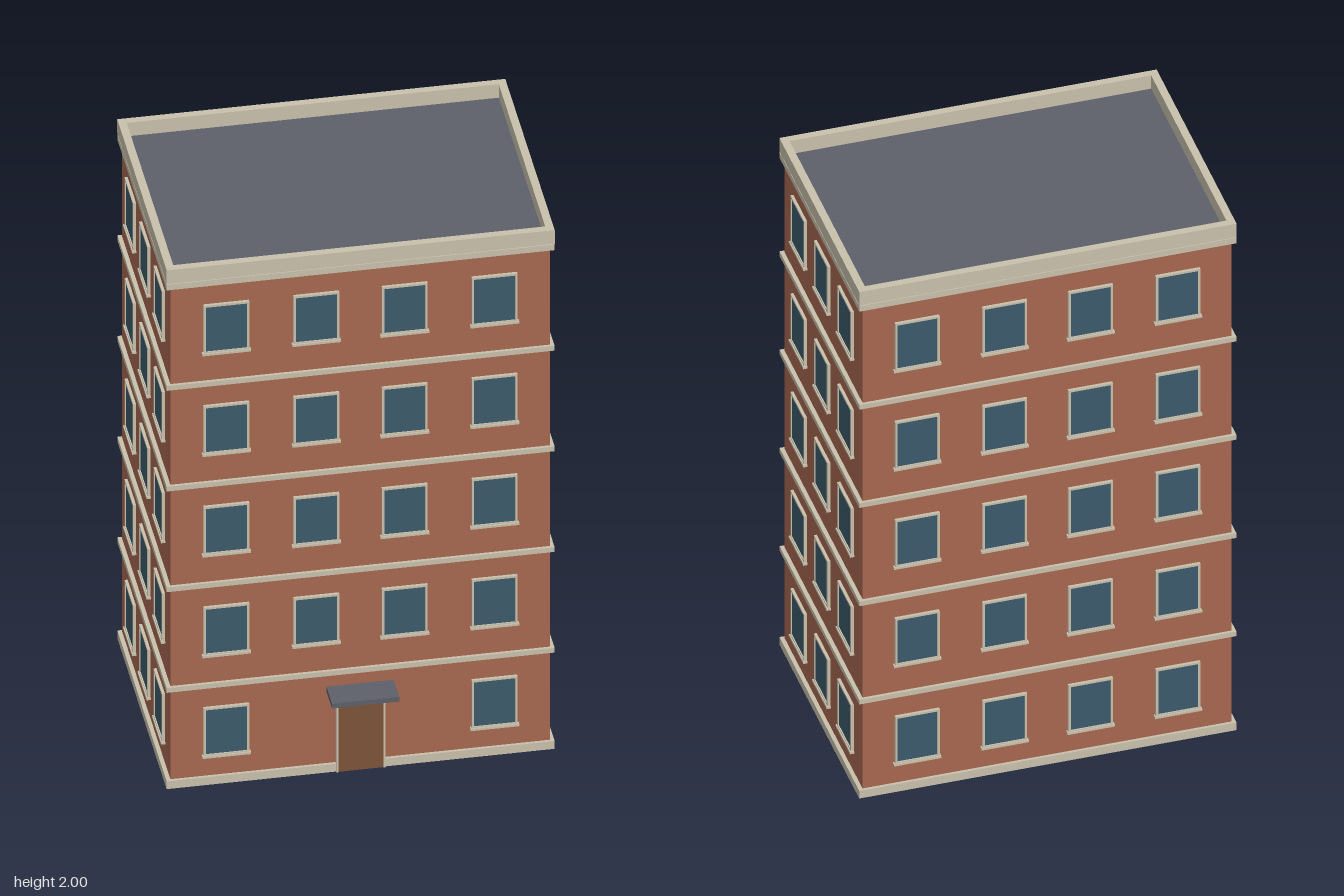
import * as THREE from 'three';

const W = 1.228, D = 0.846, ZC = -0.044, FLOOR = 0.388, FLOORS = 5;

const mat = (name, color) => {
  const m = new THREE.MeshStandardMaterial({ color });
  m.name = name;
  return m;
};

export function createModel() {
  const brick = mat('brick', 0xa6674f);
  const stone = mat('stone', 0xc8c0ac);
  const glass = mat('glass', 0x3c5a6b);
  const slate = mat('slate', 0x5d6069);
  const wood = mat('wood', 0x7d5338);

  const model = new THREE.Group();
  model.name = 'apartmentBuilding';
  const building = new THREE.Group();
  building.name = 'building';
  building.position.z = ZC;
  model.add(building);

  const box = (parent, name, material, w, h, d, x, y, z) => {
    const mesh = new THREE.Mesh(new THREE.BoxGeometry(w, h, d), material);
    mesh.name = name;
    mesh.position.set(x, y, z);
    parent.add(mesh);
    return mesh;
  };

  // Flat rectangular ring with an open centre
  const ring = (w, h, border, depth) => {
    const rect = (P, a, b) => new P([
      new THREE.Vector2(-a, -b), new THREE.Vector2(a, -b),
      new THREE.Vector2(a, b), new THREE.Vector2(-a, b)]);
    const shape = rect(THREE.Shape, w / 2, h / 2);
    shape.holes.push(rect(THREE.Path, w / 2 - border, h / 2 - border));
    return new THREE.ExtrudeGeometry(shape, { depth, bevelEnabled: false });
  };

  // Walls, plinth, floor bands and cornice
  const TW = W + 0.028, TD = D + 0.02;
  box(building, 'walls', brick, W, 1.92, D, 0, 0.97, 0);
  box(building, 'plinth', stone, TW, 0.03, TD, 0, 0.015, 0);
  for (let i = 1; i < FLOORS; i++) {
    box(building, 'floorBand', stone, TW, 0.018, TD, 0, i * FLOOR - 0.008, 0);
  }
  box(building, 'cornice', stone, TW, 0.022, TD, 0, 1.933, 0);

  // Parapet around the flat roof
  const parapet = new THREE.Mesh(ring(TW, TD + 0.002, 0.026, 0.053), stone);
  parapet.name = 'parapet';
  parapet.rotation.x = -Math.PI / 2;
  parapet.position.y = 1.947;
  building.add(parapet);
  box(building, 'roofDeck', slate, W - 0.01, 0.008, D - 0.01, 0, 1.944, 0);

  // Window: frame, recessed pane and sill, facing +z from the wall plane
  const frameGeometry = ring(0.148, 0.186, 0.0075, 0.01);
  const addWindow = (wall, x, y) => {
    const win = new THREE.Group();
    win.name = 'window';
    win.position.set(x, y, 0);
    const frame = new THREE.Mesh(frameGeometry, stone);
    frame.name = 'windowFrame';
    win.add(frame);
    box(win, 'windowPane', glass, 0.136, 0.174, 0.006, 0, 0, 0.003);
    box(win, 'windowSill', stone, 0.158, 0.008, 0.014, 0, -0.094, 0.007);
    wall.add(win);
  };

  // Each facade: name, turn about y, distance from centre, window columns
  const wide = [-0.434, -0.143, 0.143, 0.434], narrow = [-0.254, 0, 0.254];
  const facades = [
    ['front', 0, D / 2, wide],
    ['left', Math.PI / 2, W / 2, narrow],
    ['back', Math.PI, D / 2, wide],
    ['right', -Math.PI / 2, W / 2, narrow],
  ];
  for (const [side, turn, distance, columns] of facades) {
    const wall = new THREE.Group();
    wall.name = side + 'Windows';
    wall.rotation.y = turn;
    wall.position.set(Math.sin(turn) * distance, 0, Math.cos(turn) * distance);
    for (let i = 0; i < FLOORS; i++) {
      for (const x of columns) {
        // The entrance takes the middle of the front ground floor
        if (side === 'front' && i === 0 && Math.abs(x) < 0.2) continue;
        addWindow(wall, x, 0.202 + i * FLOOR);
      }
    }
    building.add(wall);
  }

  // Entrance with door, surround and canopy
  const entrance = new THREE.Group();
  entrance.name = 'entrance';
  entrance.position.z = D / 2;
  building.add(entrance);
  box(entrance, 'door', wood, 0.148, 0.28, 0.013, 0, 0.14, 0.0065);
  for (const s of [-1, 1]) {
    box(entrance, 'doorJamb', stone, 0.007, 0.287, 0.016, s * 0.0765, 0.1435, 0.008);
  }
  box(entrance, 'doorLintel', stone, 0.146, 0.007, 0.016, 0, 0.2835, 0.008);
  box(entrance, 'canopy', slate, 0.218, 0.018, 0.099, 0, 0.315, 0.0495);

  return model;
}
